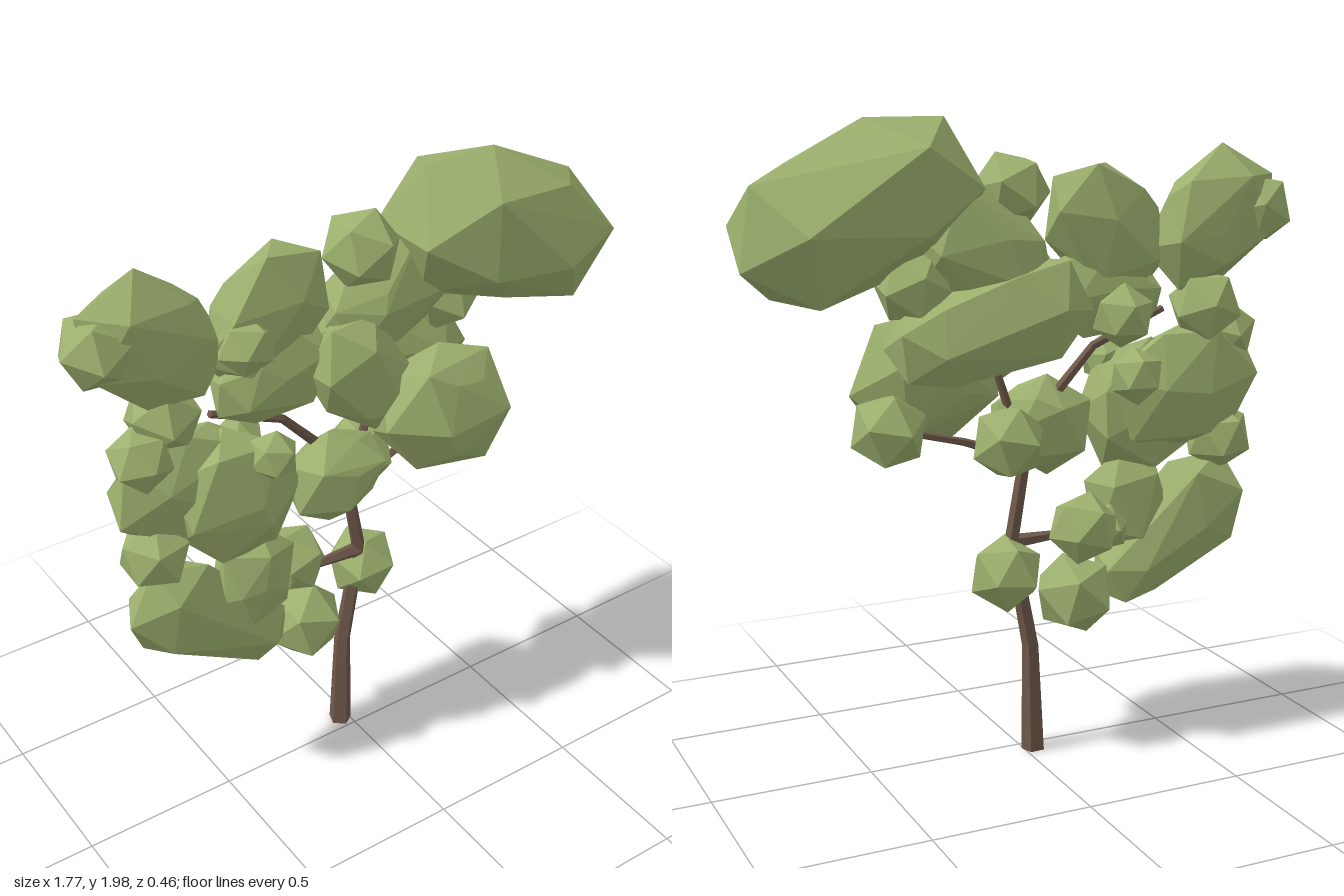
import * as THREE from 'three';
import { ConvexGeometry } from 'three/addons/geometries/ConvexGeometry.js';

const leaf = new THREE.MeshStandardMaterial({ color: 0x9db06e, flatShading: true });
const bark = new THREE.MeshStandardMaterial({ color: 0x6e584a, flatShading: true });

// corners of a turned icosahedron of radius r, flattened to a half depth
function ballPoints(x, y, z, r, depth, turn) {
  const t = (1 + Math.sqrt(5)) / 2, k = 1 / Math.hypot(1, t), points = [];
  const spin = new THREE.Euler(turn * 0.7, turn * 1.3, turn * 0.4);
  for (const a of [-1, 1]) for (const b of [-t, t]) {
    for (const c of [[0, a, b], [a, b, 0], [b, 0, a]]) {
      const p = new THREE.Vector3(...c).multiplyScalar(k).applyEuler(spin);
      points.push(new THREE.Vector3(x + p.x * r, y + p.y * r, z + p.z * depth));
    }
  }
  return points;
}

// leaf clump: convex hull around one or two balls [x, y, r]
function clump(name, z, depth, balls, turn) {
  const points = balls.flatMap(([x, y, r], i) => ballPoints(x, y, z, r, depth, turn + i));
  const mesh = new THREE.Mesh(new ConvexGeometry(points), leaf);
  mesh.name = name;
  return mesh;
}

// five-sided limb through [x, y] stations, tapering quickly at first
function limb(name, stations, r0, r1) {
  const n = stations.length - 1;
  const geo = new THREE.CylinderGeometry(1, 1, 1, 5, n);
  const pos = geo.attributes.position;
  for (let v = 0; v < pos.count; v++) {
    const i = Math.round((pos.getY(v) + 0.5) * n);
    const [x, y] = stations[i];
    const a = stations[Math.max(i - 1, 0)], b = stations[Math.min(i + 1, n)];
    const tangent = new THREE.Vector2(b[0] - a[0], b[1] - a[1]).normalize();
    const r = THREE.MathUtils.lerp(r0, r1, Math.sqrt(i / n));
    const side = pos.getX(v) * r;
    pos.setXYZ(v, x + tangent.y * side, y - tangent.x * side, -0.045 + pos.getZ(v) * r);
  }
  geo.computeVertexNormals();
  const mesh = new THREE.Mesh(geo, bark);
  mesh.name = name;
  return mesh;
}

export function createModel() {
  const tree = new THREE.Group();
  tree.name = 'tree';

  // trunk and branches
  tree.add(
    limb('trunk', [[-0.03, 0], [-0.02, 0.35], [0.045, 0.69], [0, 0.95], [-0.1, 1.14], [-0.23, 1.28], [-0.47, 1.38]], 0.038, 0.012),
    limb('lowerBranch', [[0.04, 0.69], [-0.12, 0.695], [-0.45, 0.58]], 0.024, 0.01),
    limb('rightBranch', [[0, 0.95], [0.2, 1.02], [0.44, 1.08]], 0.018, 0.01),
    limb('upperBranch', [[0, 0.95], [0.1, 1.25], [0.3, 1.7]], 0.018, 0.01)
  );

  // large stretched clumps: z, half depth, then the balls
  const large = [
    [0, 0.235, [0.36, 1.775, 0.235], [0.67, 1.65, 0.23]],
    [-0.06, 0.12, [0.06, 1.53, 0.15], [0.2, 1.61, 0.2]],
    [-0.11, 0.12, [-0.02, 1.42, 0.17], [0.33, 1.33, 0.14]],
    [0.02, 0.1, [-0.03, 1.43, 0.16], [0.06, 1.31, 0.13]],
    [0.08, 0.155, [0.21, 1.23, 0.2], [0.31, 1.19, 0.215]],
    [-0.01, 0.12, [-0.09, 1.04, 0.16], [0, 1.07, 0.1]],
    [-0.07, 0.11, [-0.67, 1.69, 0.195], [-0.56, 1.59, 0.17]],
    [-0.05, 0.09, [-0.23, 1.68, 0.18], [-0.32, 1.58, 0.17]],
    [-0.04, 0.09, [-0.2, 1.45, 0.15], [-0.35, 1.43, 0.12]],
    [-0.03, 0.115, [-0.42, 1.1, 0.22], [-0.39, 1.05, 0.2]],
    [-0.08, 0.1, [-0.61, 1.16, 0.195], [-0.45, 1.12, 0.2]],
    [-0.05, 0.1, [-0.62, 0.75, 0.175], [-0.35, 0.55, 0.12]],
    [-0.03, 0.1, [-0.36, 0.8, 0.15], [-0.37, 0.72, 0.13]]
  ];
  large.forEach(([z, depth, ...balls], i) => tree.add(clump('leafClump' + (i + 1), z, depth, balls, i * 1.7)));

  // small round tufts: x, y, z, radius
  const tufts = [
    [0.04, 1.76, -0.03, 0.122], [0.37, 1.5, -0.07, 0.118], [0.445, 1.08, -0.06, 0.12],
    [0.08, 1.02, -0.1, 0.12], [-0.785, 1.68, -0.07, 0.118], [-0.37, 1.59, 0, 0.09],
    [-0.59, 1.39, -0.1, 0.118], [-0.69, 1.3, -0.06, 0.1], [-0.31, 1.22, 0.03, 0.08],
    [-0.29, 1.38, -0.12, 0.1], [-0.34, 1.19, -0.12, 0.09], [-0.67, 0.965, -0.06, 0.115],
    [-0.18, 0.72, -0.09, 0.115], [-0.27, 0.71, -0.06, 0.085], [-0.17, 0.5, -0.05, 0.135],
    [0.08, 0.605, -0.08, 0.12]
  ];
  tufts.forEach(([x, y, z, r], i) => tree.add(clump('leafTuft' + (i + 1), z, r, [[x, y, r]], i * 0.9 + 0.3)));

  return tree;
}
